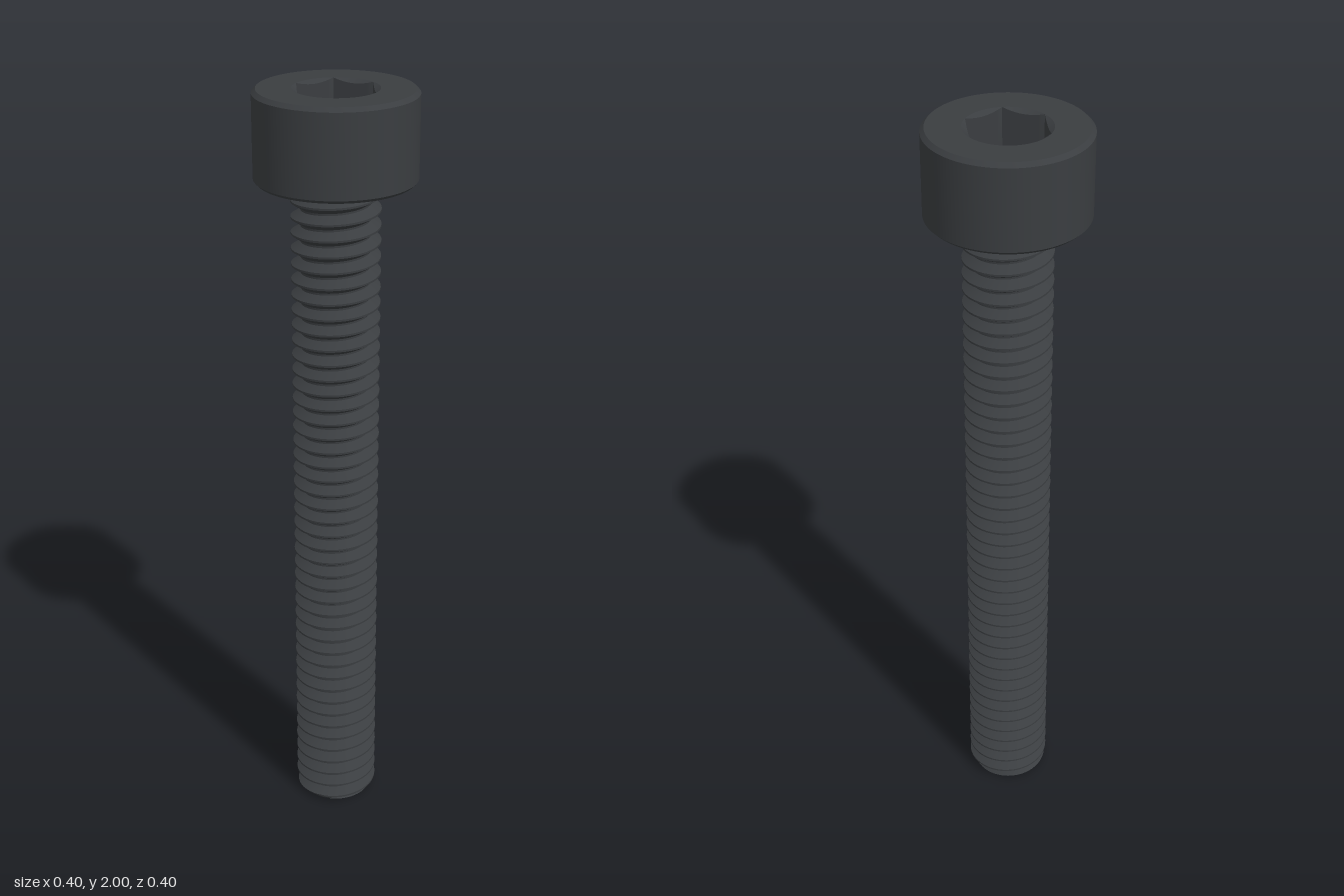
import * as THREE from 'three';
import { toCreasedNormals } from 'three/addons/utils/BufferGeometryUtils.js';

const HEAD_BASE = 1.778, TOP = 2, MAJOR = 0.111, ROOT = 0.087, PITCH = 0.04;
const THREAD_TOP = 1.762, TIP_R = 0.096;
const APOTHEM = 0.0915, SOCKET_R = 0.1058, SOCKET_DEPTH = 0.1;

const steel = new THREE.MeshStandardMaterial({ color: 0x3a3d40 });

function addMesh(group, name, geometry, crease = 0.5) {
  const mesh = new THREE.Mesh(toCreasedNormals(geometry, crease), steel);
  mesh.name = name;
  group.add(mesh);
}

function lathe(points, segments = 96) {
  return new THREE.LatheGeometry(points.map(([r, y]) => new THREE.Vector2(r, y)), segments);
}

// Joins rows of points (each [x, y, z]) into a surface; rows run counter-clockwise, columns upward
function skin(rows) {
  const n = rows[0].length, index = [];
  for (let i = 0; i < rows.length - 1; i++) {
    for (let j = 0; j < n - 1; j++) {
      const a = i * n + j, b = a + n;
      if (rows[i][j][1] === rows[i][j + 1][1] && rows[i + 1][j][1] === rows[i + 1][j + 1][1]
        && rows[i][j][1] === rows[i + 1][j][1]) continue; // collapsed at a trimmed end
      index.push(a, b, b + 1, a, b + 1, a + 1);
    }
  }
  const geometry = new THREE.BufferGeometry();
  geometry.setAttribute('position', new THREE.Float32BufferAttribute(rows.flat(2), 3));
  geometry.setIndex(index);
  return geometry;
}

const polar = (r, y, a) => [r * Math.sin(a), y, r * Math.cos(a)];

// Right-hand helical thread, trimmed flat at both ends with a chamfered tip
function threadGeometry() {
  const profile = [[0, ROOT], [0.125, ROOT], [0.5, MAJOR], [0.625, MAJOR], [1, ROOT]];
  const steps = 48, turns = Math.ceil(THREAD_TOP / PITCH) + 1, rows = [];
  for (let i = 0; i <= steps * turns; i++) {
    const a = (i / steps) * Math.PI * 2;
    rows.push(profile.map(([t, r]) => {
      const y = (i / steps - 1 + t) * PITCH;
      if (y <= 0) return polar(TIP_R, 0, a);
      if (y >= THREAD_TOP) return polar(ROOT, THREAD_TOP, a);
      return polar(Math.min(r, TIP_R + y), y, a);
    }));
  }
  return skin(rows);
}

// Hexagonal recess: conical lead-in, six walls and a flat floor
function socketGeometry() {
  const rows = [], count = 96;
  for (let i = 0; i <= count; i++) {
    const a = (i / count) * Math.PI * 2;
    // flats face +z and -z, corners point along x
    const off = ((a + Math.PI / 6) % (Math.PI / 3)) - Math.PI / 6;
    const r = APOTHEM / Math.cos(off);
    const lip = TOP - Math.max(0, SOCKET_R - r) * 0.6 - 0.0002;
    rows.push([
      polar(SOCKET_R, TOP, a), polar(r, lip, a),
      polar(r, TOP - SOCKET_DEPTH, a), polar(0.0001, TOP - SOCKET_DEPTH - 0.0001, a),
    ]);
  }
  return skin(rows);
}

export function createModel() {
  const group = new THREE.Group();
  group.name = 'socketHeadScrew';

  // Cylindrical head with narrow chamfers
  addMesh(group, 'head', lathe([
    [0.1, HEAD_BASE], [0.192, HEAD_BASE], [0.2, HEAD_BASE + 0.008],
    [0.2, TOP - 0.01], [0.19, TOP], [SOCKET_R, TOP],
  ]));
  addMesh(group, 'hexSocket', socketGeometry());

  // Flared neck below the head
  addMesh(group, 'neck', lathe([
    [ROOT - 0.002, THREAD_TOP - 0.004], [0.109, 1.767], [0.112, 1.771], [0.122, HEAD_BASE],
  ]));

  addMesh(group, 'thread', threadGeometry());

  // Flat end of the shank
  const tip = new THREE.CircleGeometry(TIP_R, 48).rotateX(Math.PI / 2);
  addMesh(group, 'tip', tip);

  return group;
}
